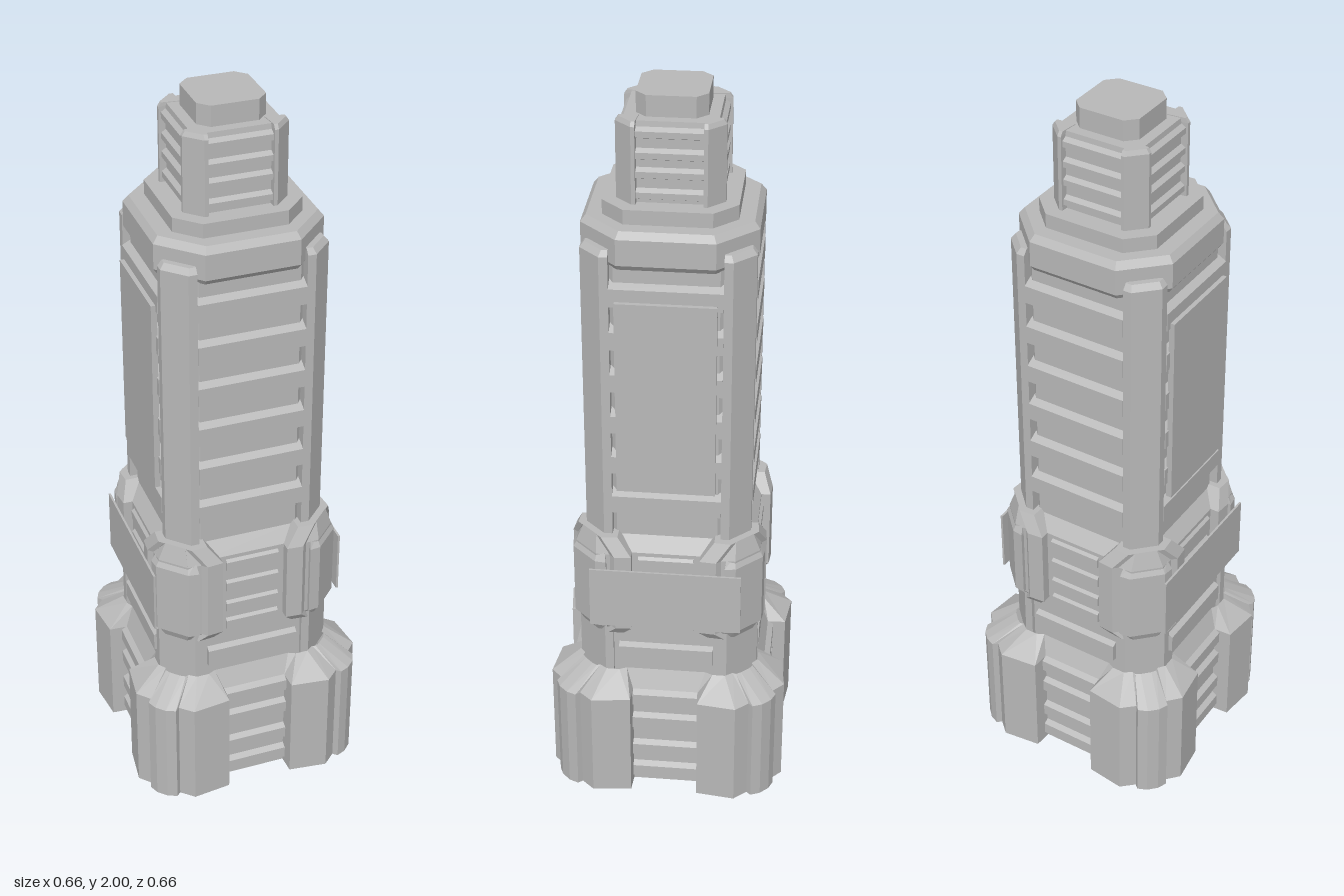
import * as THREE from 'three';

const grey = new THREE.MeshStandardMaterial({ color: 0xb8b8b8, side: THREE.DoubleSide });
grey.name = 'stone grey';

// Walls through matching [x, z] outlines, listed from +x towards +z, with optional caps
function loft(rings, capped = true) {
  const pos = [];
  const put = (...ps) => ps.forEach((p) => pos.push(p[0], p[1], p[2]));
  const pts = rings.map((r) => r.pts.map(([x, z]) => [x, r.y, z]));
  const n = pts[0].length;
  for (let i = 0; i < pts.length - 1; i++) {
    for (let j = 0; j < n; j++) {
      const k = (j + 1) % n;
      const a = pts[i][j], b = pts[i][k], c = pts[i + 1][k], d = pts[i + 1][j];
      put(a, d, b, b, d, c);
    }
  }
  if (capped) {
    [[pts[0], -1], [pts[pts.length - 1], 1]].forEach(([ring, up]) => {
      const flat = ring.map((p) => new THREE.Vector2(p[0], p[2]));
      for (const [i, j, k] of THREE.ShapeUtils.triangulateShape(flat, [])) {
        const a = flat[i], b = flat[j], c = flat[k];
        const area = (b.x - a.x) * (c.y - a.y) - (b.y - a.y) * (c.x - a.x);
        if (area * up < 0) put(ring[i], ring[j], ring[k]);
        else put(ring[i], ring[k], ring[j]);
      }
    });
  }
  const g = new THREE.BufferGeometry();
  g.setAttribute('position', new THREE.Float32BufferAttribute(pos, 3));
  g.computeVertexNormals();
  return g;
}

// Repeats one corner's points around all four corners
function fourTimes(quarter) {
  const out = [];
  let q = quarter;
  for (let k = 0; k < 4; k++) {
    out.push(...q);
    q = q.map(([x, z]) => [-z, x]);
  }
  return out;
}

// Mirrors half a corner outline across the diagonal
const corner = (half) => [...half, ...half.map(([x, z]) => [z, x]).reverse()];

// Octagonal body from [y, half width, half of flat side]
const octagon = (levels) =>
  loft(levels.map(([y, h, f]) => ({ y, pts: fourTimes([[h, f], [f, h]]) })));

// Louvre for the +x side with bevelled upper and lower edges
function slat(inner, outer, y, height, halfLength) {
  const h = height / 2;
  const s = new THREE.Shape();
  s.moveTo(inner, y - h - 0.006);
  s.lineTo(outer, y - h + 0.004);
  s.lineTo(outer, y + h - 0.006);
  s.lineTo(inner, y + h + 0.01);
  s.closePath();
  const g = new THREE.ExtrudeGeometry(s, { depth: 2 * halfLength, bevelEnabled: false });
  return g.translate(0, 0, -halfLength);
}

export function createModel() {
  const model = new THREE.Group();
  model.name = 'tower';

  const add = (name, geometry, parent = model) => {
    const m = new THREE.Mesh(geometry, grey);
    m.name = name;
    parent.add(m);
    return m;
  };
  const addFour = (name, geometry) => {
    const g = new THREE.Group();
    g.name = name + 's';
    for (let k = 0; k < 4; k++) add(name, geometry, g).rotation.y = (k * Math.PI) / 2;
    model.add(g);
  };

  // Hollow base with four buttressed corners
  const foot = fourTimes(corner([
    [0.265, 0.09], [0.315, 0.093], [0.328, 0.2], [0.296, 0.235], [0.307, 0.247], [0.296, 0.273],
  ]));
  const shoulder = fourTimes(corner([
    [0.24, 0.11], [0.25, 0.13], [0.25, 0.165], [0.235, 0.185], [0.238, 0.195], [0.23, 0.208],
  ]));
  add('base', loft([{ y: 0, pts: foot }, { y: 0.32, pts: foot }, { y: 0.375, pts: shoulder }], false));
  [0.04, 0.118, 0.215, 0.295].forEach((y) => addFour('baseSlat', slat(0.255, 0.28, y, 0.045, 0.092)));

  // Lower and main shaft
  add('lowerShaft', octagon([[0.33, 0.235, 0.15], [0.76, 0.235, 0.15], [0.8, 0.205, 0.13]]));
  add('mainShaft', octagon([[0.78, 0.205, 0.135], [1.6, 0.205, 0.135]]));

  // Louvres
  addFour('lowerSlat', slat(0.22, 0.25, 0.43, 0.06, 0.13));
  [0.53, 0.59, 0.66, 0.73].forEach((y) => addFour('bayPanel', slat(0.225, 0.243, y, 0.035, 0.075)));
  for (let i = 0; i < 6; i++) addFour('shaftSlat', slat(0.195, 0.225, 0.905 + i * 0.122, 0.06, 0.145));

  // Corner posts
  const post = (o, inset) => corner([
    [0.17, 0.145], [o - inset, 0.145], [o - inset, 0.168 - inset / 2],
  ]);
  addFour('cornerPost', loft([
    { y: 0.78, pts: post(0.223, 0) },
    { y: 1.625, pts: post(0.223, 0) },
    { y: 1.64, pts: post(0.223, 0.012) },
  ]));
  addFour('lowerCornerPost', loft([
    { y: 0.35, pts: post(0.247, 0) },
    { y: 0.52, pts: post(0.247, 0) },
  ]));

  // Clamps around the corners
  const clamp = (o, e) => corner([
    [0.2, e], [o - 0.004, e], [o, e + 0.045], [o - 0.013, e + 0.058], [o - 0.015, 0.188],
  ]);
  addFour('clamp', loft([
    { y: 0.5, pts: clamp(0.25, 0.115) },
    { y: 0.525, pts: clamp(0.265, 0.092) },
    { y: 0.76, pts: clamp(0.265, 0.092) },
    { y: 0.81, pts: clamp(0.245, 0.13) },
  ]));
  addFour('clampCover', loft([
    { y: 0.53, pts: corner([[0.2, 0.16], [0.262, 0.16], [0.258, 0.19]]) },
    { y: 0.74, pts: corner([[0.2, 0.16], [0.262, 0.16], [0.258, 0.19]]) },
    { y: 0.77, pts: corner([[0.2, 0.165], [0.247, 0.165], [0.242, 0.185]]) },
  ]));

  // Strap plates and flat signboards on both sides
  [-1, 1].forEach((s) => {
    add('strapPlate', new THREE.BoxGeometry(0.006, 0.18, 0.41)).position.set(s * 0.268, 0.63, 0);
    add('sidePanel', new THREE.BoxGeometry(0.016, 0.55, 0.26)).position.set(s * 0.229, 1.23, 0);
  });

  // Crown and step
  add('crown', octagon([[1.59, 0.215, 0.122], [1.605, 0.226, 0.125], [1.675, 0.226, 0.125], [1.693, 0.212, 0.118]]));
  add('step', octagon([[1.69, 0.172, 0.112], [1.732, 0.172, 0.112]]));

  // Turret with posts and louvres
  add('turret', octagon([[1.73, 0.12, 0.085], [1.93, 0.12, 0.085], [1.945, 0.118, 0.082]]));
  [1.755, 1.81, 1.86, 1.915].forEach((y) => addFour('turretSlat', slat(0.11, 0.132, y, 0.026, 0.09)));
  const turretPost = (o) => corner([[0.08, 0.08], [o, 0.085], [o, 0.095]]);
  addFour('turretPost', loft([
    { y: 1.73, pts: turretPost(0.138) },
    { y: 1.935, pts: turretPost(0.138) },
    { y: 1.947, pts: turretPost(0.13) },
  ]));
  add('cap', octagon([[1.94, 0.09, 0.062], [2, 0.09, 0.062]]));

  return model;
}
